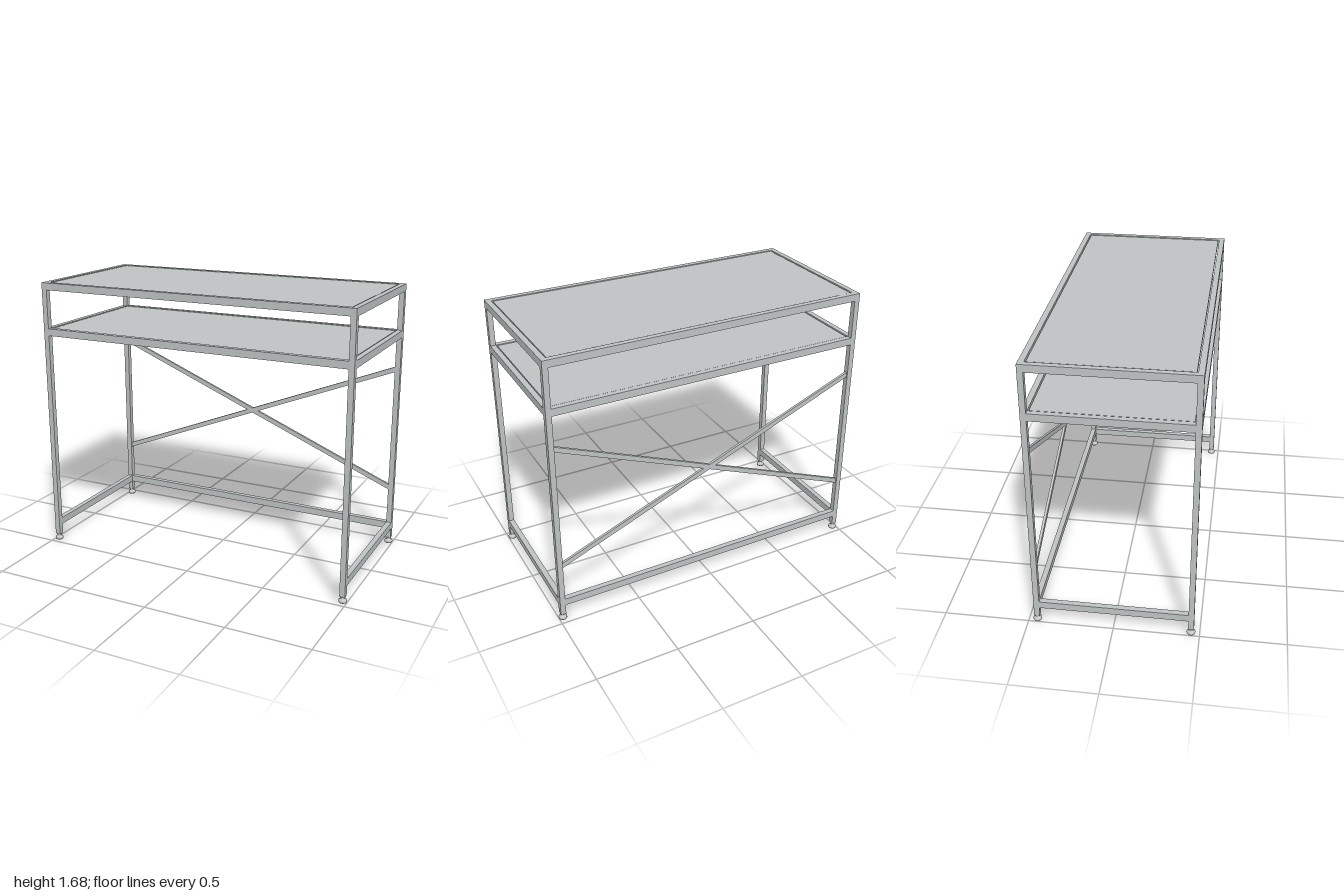
import * as THREE from 'three';

export function createModel() {
  const group = new THREE.Group();
  const metal = new THREE.MeshStandardMaterial({ color: 0xc0c4c4 });
  metal.name = 'light grey';

  const add = (name, geometry, x, y, z) => {
    const mesh = new THREE.Mesh(geometry, metal);
    mesh.name = name;
    mesh.position.set(x, y, z);
    group.add(mesh);
    return mesh;
  };
  const box = (name, w, h, d, x, y, z) => add(name, new THREE.BoxGeometry(w, h, d), x, y, z);

  const T = 0.033;              // tube width
  const H = 0.044;              // rail height
  const LX = 0.975, LZ = 0.45;  // leg centres
  const TOP = 1.68, FOOT = 0.038;
  const spanX = 2 * LX - T, spanZ = 2 * LZ - T;

  // Levelling foot: rounded disc with a tapering neck
  const footProfile = [
    [0, 0], [0.023, 0], [0.025, 0.004], [0.025, 0.013], [0.021, 0.018],
    [0.013, 0.021], [0.013, 0.029], [0.016, 0.033], [0.016, FOOT], [0, FOOT],
  ].map(([r, y]) => new THREE.Vector2(r, y));
  const footGeometry = new THREE.LatheGeometry(footProfile, 24);

  for (const sx of [-1, 1]) {
    for (const sz of [-1, 1]) {
      box('leg', T, TOP - FOOT, T, sx * LX, (TOP + FOOT) / 2, sz * LZ);
      add('foot', footGeometry, sx * LX, 0, sz * LZ);
    }
    box('lowerSideRail', T, H, spanZ, sx * LX, 0.121, 0);
  }
  box('lowerBackRail', spanX, H, T, 0, 0.121, -LZ);

  // Desktop and shelf: a tube frame holding an inset panel
  for (const [name, top] of [['desktop', TOP], ['shelf', 1.4]]) {
    const y = top - H / 2;
    for (const s of [-1, 1]) {
      box(name + 'LongRail', spanX, H, T, 0, y, s * LZ);
      box(name + 'SideRail', T, H, spanZ, s * LX, y, 0);
    }
    box(name + 'Panel', 1.902, 0.022, 0.854, 0, top - 0.014, 0);
  }

  // Crossed back braces, with ends cut flush to the legs
  const half = spanX / 2, rise = 0.386, v = 0.016, depth = 0.016;
  for (const s of [-1, 1]) {
    const shape = new THREE.Shape([
      [-half, -s * rise - v], [half, s * rise - v],
      [half, s * rise + v], [-half, -s * rise + v],
    ].map(([x, y]) => new THREE.Vector2(x, y)));
    const geometry = new THREE.ExtrudeGeometry(shape, { depth, bevelEnabled: false });
    add('crossBrace', geometry, 0, 0.766, -LZ - depth / 2);
  }

  return group;
}
